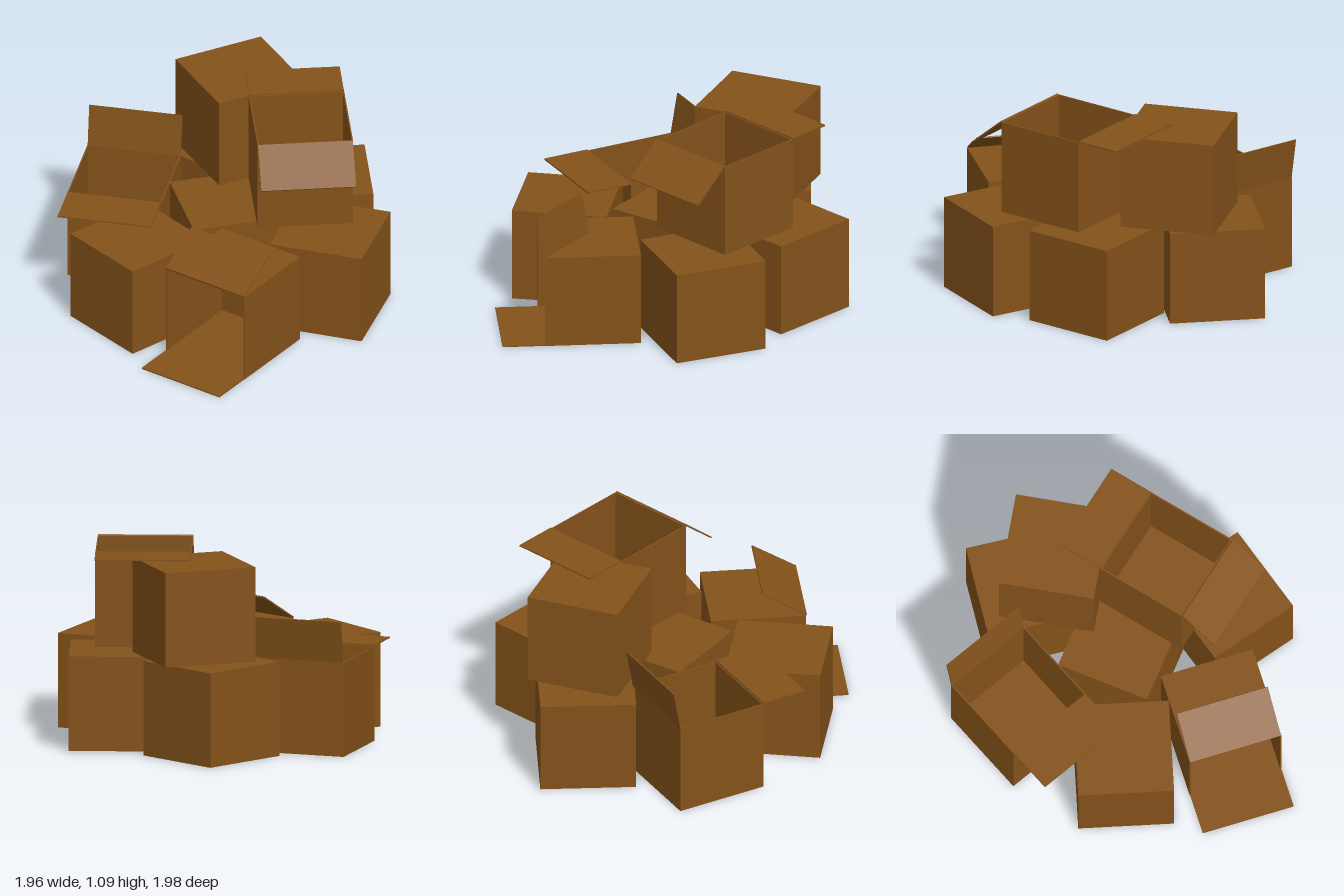
import * as THREE from 'three';

const S = 0.54; // box side
const T = 0.008; // card thickness
const card = new THREE.MeshStandardMaterial({ color: 0x84521a, flatShading: true });

function panel(name, w, h, d, x, y, z) {
  const mesh = new THREE.Mesh(new THREE.BoxGeometry(w, h, d), card);
  mesh.name = name;
  mesh.position.set(x, y, z);
  return mesh;
}

// Flap hinged on the rim; tilt is its rise from pointing straight outwards
function flap(side, length, tilt) {
  const hinge = new THREE.Group();
  hinge.name = 'flap';
  hinge.position.set(side * S / 2, S / 2, 0);
  hinge.rotation.y = side > 0 ? 0 : Math.PI;
  const leaf = panel('flapPanel', length, T, S - 0.004, length / 2, T / 2, 0);
  const pivot = new THREE.Group();
  pivot.rotation.z = THREE.MathUtils.degToRad(tilt);
  pivot.add(leaf);
  hinge.add(pivot);
  return hinge;
}

// Hollow box open at the top, with a flap on each of two opposite sides
function openBox(name, flaps) {
  const box = new THREE.Group();
  box.name = name;
  box.add(panel('base', S, T, S, 0, -S / 2 + T / 2, 0));
  for (const s of [-1, 1]) {
    box.add(panel('sideWall', T, S - T, S, s * (S - T) / 2, T / 2, 0));
    box.add(panel('endWall', S - 2 * T, S - T, T, 0, T / 2, s * (S - T) / 2));
  }
  for (const [side, length, tilt] of flaps) box.add(flap(side, length, tilt));
  return box;
}

export function createModel() {
  const model = new THREE.Group();
  model.name = 'boxPile';

  const place = (object, x, level, z, yaw) => {
    const holder = new THREE.Group();
    holder.name = object.name + 'Placement';
    holder.position.set(x, S / 2 + level * S, z);
    holder.rotation.y = yaw;
    holder.add(object);
    model.add(holder);
  };

  // Closed boxes: name, x, level, z, yaw
  const closed = [
    ['leftBox', -0.64, 0, -0.02, -0.015],
    ['backBox', 0.395, 0, -0.51, 0.168],
    ['middleBox', 0.005, 0, 0.01, -0.463],
    ['rightBox', 0.6, 0, 0.125, -0.625],
    ['frontBox', 0.235, 0, 0.62, 0.547],
    ['upperBackBox', 0.395, 1, -0.335, -0.245],
  ];
  for (const [name, x, level, z, yaw] of closed) {
    place(panel(name, S, S, S, 0, 0, 0), x, level, z, yaw);
  }

  // Open boxes standing upright
  place(openBox('openBackBox', [[1, 0.24, 80], [-1, 0.27, 0]]), -0.25, 0, -0.585, 0.64);
  place(openBox('openUpperBox', [[1, 0.26, 0], [-1, 0.275, -40]]), 0.307, 1, 0.287, 0.945);

  // Open box lying on its side, mouth to the left of the pile
  const tipped = openBox('tippedBox', [[1, 0.29, -59], [-1, 0.24, 90]]);
  tipped.rotation.z = Math.PI / 2;
  place(tipped, -0.425, 0, 0.545, 0.235);

  return model;
}
